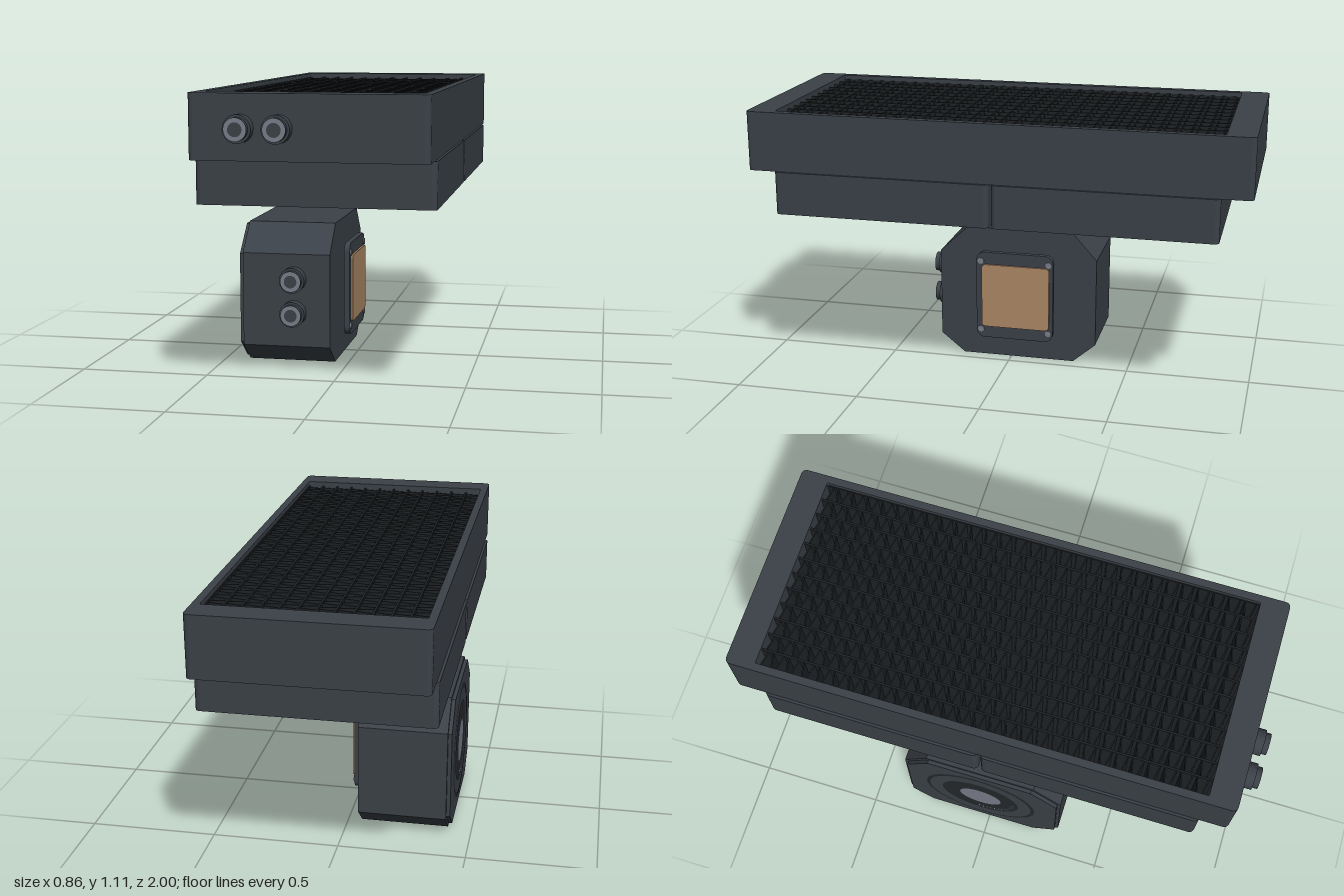
import * as THREE from 'three';
import { mergeGeometries } from 'three/addons/utils/BufferGeometryUtils.js';

const mat = (name, color, side = THREE.FrontSide) => {
  const m = new THREE.MeshStandardMaterial({ color, side });
  m.name = name;
  return m;
};

// Rectangle outline with rounded corners, centred on (cx, cy)
function roundedRect(w, h, r, Type = THREE.Shape, cx = 0, cy = 0) {
  const s = new Type();
  const x = w / 2 - r, y = h / 2 - r;
  s.absarc(cx + x, cy + y, r, 0, Math.PI / 2);
  s.absarc(cx - x, cy + y, r, Math.PI / 2, Math.PI);
  s.absarc(cx - x, cy - y, r, Math.PI, Math.PI * 1.5);
  s.absarc(cx + x, cy - y, r, Math.PI * 1.5, Math.PI * 2);
  s.closePath();
  return s;
}

const extrude = (shape, depth, curveSegments = 6) =>
  new THREE.ExtrudeGeometry(shape, { depth, bevelEnabled: false, curveSegments });
// Extrusion upwards (shape y becomes -z) and towards +x (shape x becomes -z)
const extrudeUp = (shape, depth, seg) => extrude(shape, depth, seg).rotateX(-Math.PI / 2);
const extrudeSide = (shape, depth, seg) => extrude(shape, depth, seg).rotateY(Math.PI / 2);

// Octagonal pump outline, shrunk by an inset
function pumpOutline(k) {
  const pts = [[-0.305, 0.08], [-0.205, 0], [0.265, 0], [0.358, 0.08],
    [0.358, 0.45], [0.26, 0.56], [-0.19, 0.56], [-0.305, 0.45]];
  return new THREE.Shape(pts.map(([x, y]) =>
    new THREE.Vector2(0.027 + (x - 0.027) * k, 0.28 + (y - 0.28) * k)));
}

// Swept, pitched fan blade as a thin sheet from hub to tip
function bladeGeometry() {
  const g = new THREE.PlaneGeometry(1, 1, 12, 4);
  const p = g.attributes.position;
  for (let i = 0; i < p.count; i++) {
    const t = p.getX(i) + 0.5, v = p.getY(i);
    const r = 0.12 + 0.252 * t;
    const chord = 0.075 + 0.012 * Math.sin(Math.PI * t);
    const a = THREE.MathUtils.degToRad(103 - 41 * t) + v * chord / r;
    const y = v * (0.11 - 0.03 * t) + 0.015 * (0.25 - v * v);
    p.setXYZ(i, r * Math.cos(a), y, -r * Math.sin(a));
  }
  g.computeVertexNormals();
  return g;
}

export function createModel() {
  const root = new THREE.Group();
  root.name = 'liquidCooler';
  const body = mat('charcoal', 0x3b4148);
  const dark = mat('dark', 0x24282c);
  const finMat = mat('finBlack', 0x1f2326);
  const silver = mat('grey metal', 0x7a7d8a);
  const copper = mat('copper', 0xac8766);
  const purple = mat('purple', 0xb09ad4, THREE.DoubleSide);
  const white = mat('white', 0xe4e6ea);

  const add = (name, geo, material, parent = root, x = 0, y = 0, z = 0) => {
    const m = new THREE.Mesh(geo, material);
    m.name = name;
    m.position.set(x, y, z);
    parent.add(m);
    return m;
  };

  // Radiator frame, open from top to bottom
  const frame = roundedRect(0.84, 1.94, 0.02);
  frame.holes.push(roundedRect(0.78, 1.72, 0.005, THREE.Path));
  add('radiatorFrame', extrudeUp(frame, 0.232), body, root, 0, 0.878, -0.03);

  // Coolant tubes and zigzag fins between them
  const columns = 12, pitch = 0.78 / columns, step = 0.03;
  const tubes = [], fins = [];
  for (let i = 0; i <= columns; i++) {
    tubes.push(new THREE.BoxGeometry(0.008, 0.195, 1.72).translate(-0.39 + i * pitch, 0, 0));
  }
  for (let i = 0; i < columns; i++) {
    for (let j = 0; j < 57; j++) {
      fins.push(new THREE.BoxGeometry(pitch + 0.004, 0.185, 0.005)
        .rotateY((j % 2 ? 1 : -1) * 0.2)
        .translate(-0.39 + (i + 0.5) * pitch, 0, -0.84 + j * step));
    }
  }
  add('coolantTubes', mergeGeometries(tubes), finMat, root, 0, 0.995, -0.03);
  add('radiatorFins', mergeGeometries(fins), finMat, root, 0, 0.995, -0.03);

  // Hose fittings pointing to the front
  const fitting = (x, y, z) => {
    const g = new THREE.Group();
    g.name = 'hoseFitting';
    g.position.set(x, y, z);
    root.add(g);
    const cyl = (r, h) => new THREE.CylinderGeometry(r, r, h, 32).rotateX(Math.PI / 2).translate(0, 0, h / 2);
    add('fittingCollar', cyl(0.05, 0.038), body, g);
    add('fittingBarrel', cyl(0.041, 0.058), body, g);
    add('fittingLip', new THREE.RingGeometry(0.025, 0.04, 32), silver, g, 0, 0, 0.06);
    add('fittingBore', new THREE.CircleGeometry(0.025, 32), body, g, 0, 0, 0.059);
  };
  for (const x of [-0.235, -0.1]) fitting(x, 0.99, 0.94);
  for (const y of [0.35, 0.215]) fitting(-0.2, y, 0.305);

  // Two fans hanging below the radiator
  const blade = bladeGeometry();
  for (const z of [-0.4575, 0.405]) {
    const fan = new THREE.Group();
    fan.name = 'fan';
    fan.position.set(0, 0.71, z);
    root.add(fan);

    const wall = roundedRect(0.86, 0.852, 0.02);
    wall.holes.push(roundedRect(0.815, 0.807, 0.01, THREE.Path));
    add('fanFrame', extrudeUp(wall, 0.168), body, fan);

    const duct = new THREE.Shape().absarc(0, 0, 0.403, 0, Math.PI * 2);
    duct.holes.push(new THREE.Path().absarc(0, 0, 0.384, 0, Math.PI * 2));
    add('fanDuct', extrudeUp(duct, 0.168, 40), body, fan);

    // Corner tabs with screw holes, at the top and bottom
    for (const sx of [-1, 1]) for (const sz of [-1, 1]) for (const y of [0.002, 0.141]) {
      const tab = roundedRect(0.08, 0.08, 0.015);
      tab.holes.push(new THREE.Path().absarc(0, 0, 0.018, 0, Math.PI * 2));
      add('screwTab', extrudeUp(tab, 0.025), dark, fan, sx * 0.382, y, sz * 0.379);
    }

    add('fanHub', new THREE.CylinderGeometry(0.13, 0.13, 0.125, 40), dark, fan, 0, 0.0875, 0);
    add('hubFace', new THREE.CylinderGeometry(0.112, 0.112, 0.006, 40), body, fan, 0, 0.023, 0);
    for (let i = 0; i < 5; i++) {
      add('fanBlade', blade, purple, fan, 0, 0.085, 0).rotation.y = i * Math.PI * 0.4;
    }
    add('bladeRing', new THREE.TorusGeometry(0.376, 0.005, 8, 64).rotateX(Math.PI / 2), purple, fan, 0, 0.075, 0);
  }

  // Pump housing and its outer cap
  add('pumpHousing', extrudeSide(pumpOutline(1), 0.35), body, root, -0.405);
  add('pumpCap', extrudeSide(pumpOutline(0.96), 0.016), body, root, -0.42);

  // Round dial on the cap
  const dial = new THREE.Group();
  dial.name = 'pumpDial';
  dial.position.set(-0.42, 0.28, -0.035);
  dial.rotation.y = -Math.PI / 2;
  root.add(dial);
  const disc = r => new THREE.CircleGeometry(r, 48);
  add('dialFace', disc(0.235), dark, dial, 0, 0, 0.001);
  add('dialBand', new THREE.RingGeometry(0.165, 0.22, 48), body, dial, 0, 0, 0.002);
  add('dialCentre', disc(0.09), silver, dial, 0, 0, 0.003);
  for (let i = 0; i < 14; i++) {
    const a = -i * 0.125;
    add('dialTick', new THREE.PlaneGeometry(0.018, 0.006), white, dial,
      0.14 * Math.cos(a), 0.14 * Math.sin(a), 0.003).rotation.z = a;
  }

  // Cold plate with copper contact face and corner screws
  add('coldPlate', extrudeSide(roundedRect(0.325, 0.375, 0.035), 0.023), body, root, -0.031, 0.282, -0.023);
  add('copperFace', extrudeSide(roundedRect(0.285, 0.272, 0.015), 0.009), copper, root, -0.009, 0.282, -0.027);
  for (const y of [0.132, 0.432]) for (const z of [0.12, -0.167]) {
    add('plateScrew', new THREE.CylinderGeometry(0.013, 0.013, 0.006, 16).rotateZ(Math.PI / 2),
      silver, root, -0.006, y, z);
  }
  return root;
}
